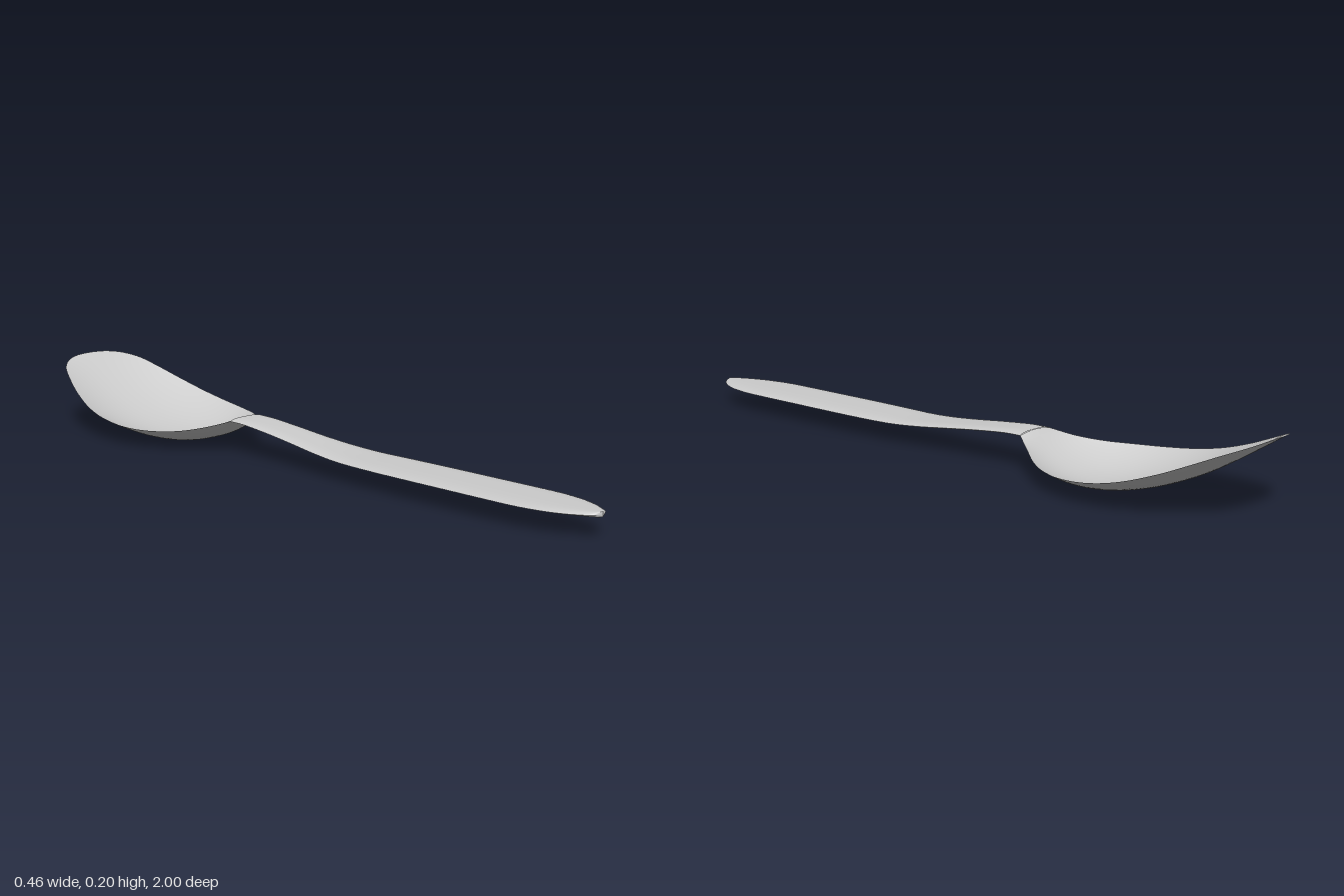
import * as THREE from 'three';
import { mergeGeometries } from 'three/addons/utils/BufferGeometryUtils.js';

const ACROSS = 32; // columns over the width
const STEPS = 6;   // rows per station

// One curved sheet lofted through the stations; sign +1 is the upper face, -1 the lower.
// Station: [z, half width, edge height, underside height, topside height], from back to front.
function sheet(stations, power, sign) {
  const spline = (k) => new THREE.CatmullRomCurve3(
    stations.map((s) => new THREE.Vector3(s[0], s[k], s[k + 1] ?? 0)), false, 'catmullrom', 0.5);
  const outline = spline(1);
  const faces = spline(3);
  const rows = (stations.length - 1) * STEPS;
  const pos = [], index = [];
  for (let i = 0; i <= rows; i++) {
    const a = outline.getPoint(i / rows); // z, half width, edge height
    const b = faces.getPoint(i / rows);   // z, underside, topside
    const mid = sign > 0 ? b.z : b.y;
    for (let j = 0; j <= ACROSS; j++) {
      const u = Math.sin((j / ACROSS - 0.5) * Math.PI);
      pos.push(a.y * u, mid + (a.z - mid) * Math.abs(u) ** power, a.x);
      if (i < rows && j < ACROSS) {
        const p = i * (ACROSS + 1) + j, q = p + ACROSS + 1;
        if (sign > 0) index.push(p, q, p + 1, p + 1, q, q + 1);
        else index.push(p, p + 1, q, p + 1, q + 1, q);
      }
    }
  }
  const g = new THREE.BufferGeometry();
  g.setAttribute('position', new THREE.Float32BufferAttribute(pos, 3));
  g.setIndex(index);
  g.computeVertexNormals();
  return g;
}

function part(name, stations, power, material) {
  const geo = mergeGeometries([sheet(stations, power, 1), sheet(stations, power, -1)]);
  const mesh = new THREE.Mesh(geo, material);
  mesh.name = name;
  return mesh;
}

export function createModel() {
  const group = new THREE.Group();
  group.name = 'spoon';
  const metal = new THREE.MeshStandardMaterial({ color: 0xcccccc, side: THREE.DoubleSide });

  // Bowl: deep near the neck, sweeping up to a thin tip
  const bowl = [
    [-1, 0, 0.2, 0.2, 0.2],
    [-0.995, 0.055, 0.198, 0.197, 0.199],
    [-0.975, 0.105, 0.19, 0.184, 0.187],
    [-0.935, 0.146, 0.174, 0.157, 0.161],
    [-0.875, 0.174, 0.148, 0.119, 0.124],
    [-0.8, 0.2, 0.117, 0.076, 0.082],
    [-0.71, 0.221, 0.087, 0.038, 0.044],
    [-0.62, 0.228, 0.068, 0.013, 0.019],
    [-0.53, 0.219, 0.059, 0.001, 0.007],
    [-0.45, 0.194, 0.058, 0.006, 0.012],
    [-0.38, 0.152, 0.063, 0.025, 0.032],
    [-0.32, 0.105, 0.076, 0.053, 0.062],
    [-0.26, 0.062, 0.096, 0.09, 0.103],
  ];
  group.add(part('bowl', bowl, 2.2, metal));

  // Handle: [z, half width, centre height], flat strip of even thickness
  const handle = [
    [-0.26, 0.062, 0.0965], [-0.2, 0.062, 0.095], [-0.1, 0.064, 0.086], [0, 0.068, 0.075],
    [0.1, 0.077, 0.065], [0.2, 0.086, 0.059], [0.32, 0.092, 0.058], [0.45, 0.094, 0.058],
    [0.6, 0.094, 0.058], [0.72, 0.094, 0.058], [0.81, 0.092, 0.058], [0.88, 0.081, 0.058],
    [0.93, 0.064, 0.058], [0.965, 0.044, 0.058], [0.99, 0.025, 0.058], [1, 0, 0.058],
  ].map(([z, w, y]) => [z, w, y, y - 0.007, y + 0.007]);
  group.add(part('handle', handle, 4, metal));

  return group;
}
